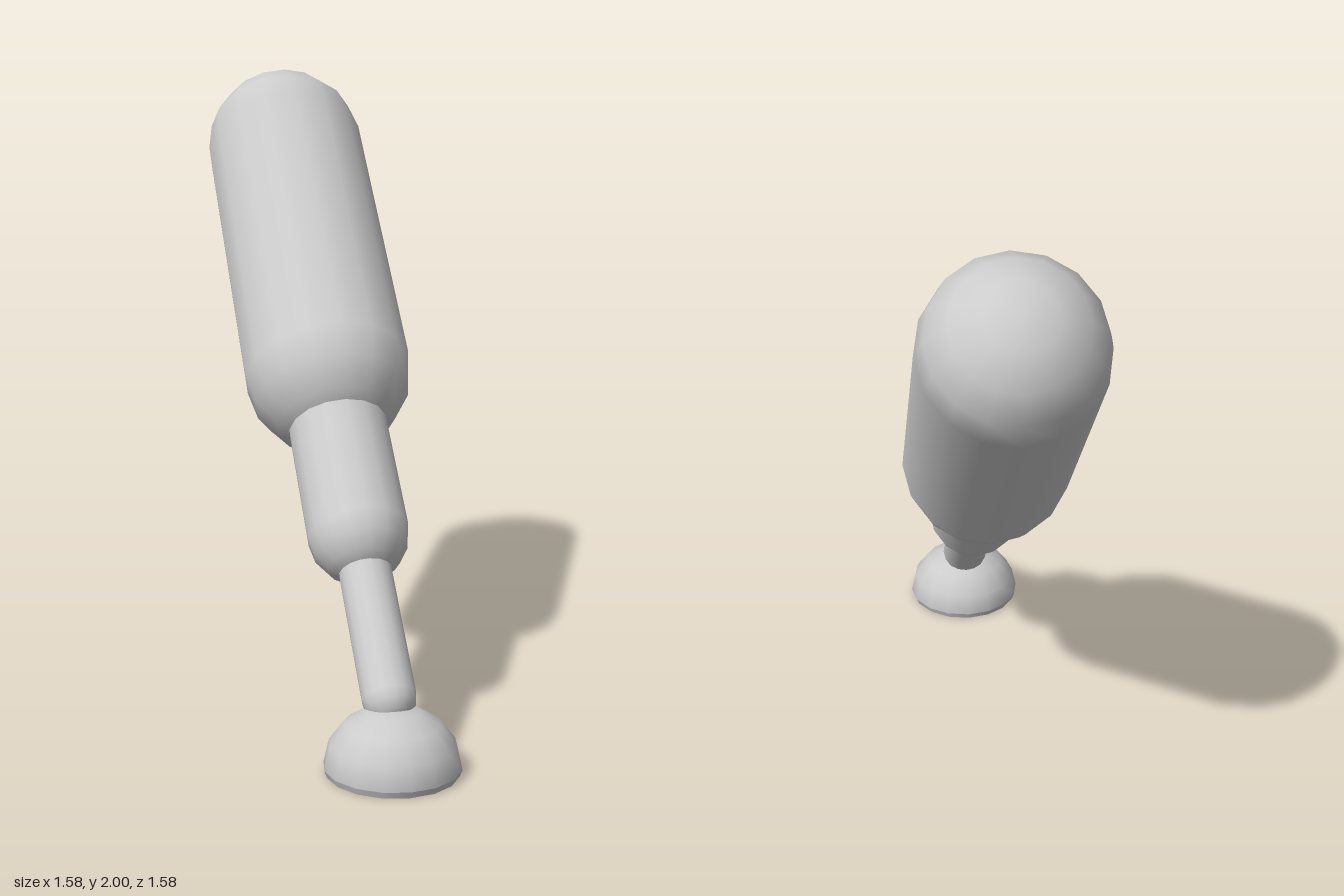
import * as THREE from 'three';

const material = new THREE.MeshStandardMaterial({ color: 0xcccccc });

// Point on the leaning axis, s units along x from the upper cap's centre
const axisPoint = (s) => new THREE.Vector3(-0.52 + s, 1.73 - Math.SQRT2 * s, -0.52 + s);

// Round-ended tube between two positions on the axis
function capsule(name, radius, s0, s1) {
  const top = axisPoint(s0), bottom = axisPoint(s1);
  const mesh = new THREE.Mesh(
    new THREE.CapsuleGeometry(radius, top.distanceTo(bottom), 4, 16), material);
  mesh.name = name;
  mesh.position.copy(top).add(bottom).multiplyScalar(0.5);
  mesh.quaternion.setFromUnitVectors(
    new THREE.Vector3(0, 1, 0), top.clone().sub(bottom).normalize());
  return mesh;
}

export function createModel() {
  const model = new THREE.Group();
  model.name = 'telescopicLeg';

  // Three telescoping sections, thick to thin
  model.add(
    capsule('upperSection', 0.272, 0, 0.495),
    capsule('middleSection', 0.158, 0.4, 0.8),
    capsule('lowerSection', 0.081, 0.75, 1.075),
  );

  // Domed foot with a thin rim and a flat sole
  const foot = new THREE.Group();
  foot.name = 'foot';
  foot.position.set(0.587, 0, 0.587);

  const dome = new THREE.Mesh(
    new THREE.SphereGeometry(0.203, 16, 4, 0, Math.PI * 2, 0, Math.PI / 2), material);
  dome.name = 'footDome';
  dome.scale.y = 0.18 / 0.203;
  dome.position.y = 0.02;

  const rim = new THREE.Mesh(
    new THREE.CylinderGeometry(0.203, 0.195, 0.02, 16, 1, true), material);
  rim.name = 'footRim';
  rim.position.y = 0.01;

  const sole = new THREE.Mesh(new THREE.CircleGeometry(0.195, 16), material);
  sole.name = 'footSole';
  sole.rotation.x = Math.PI / 2;

  foot.add(dome, rim, sole);
  model.add(foot);
  return model;
}
